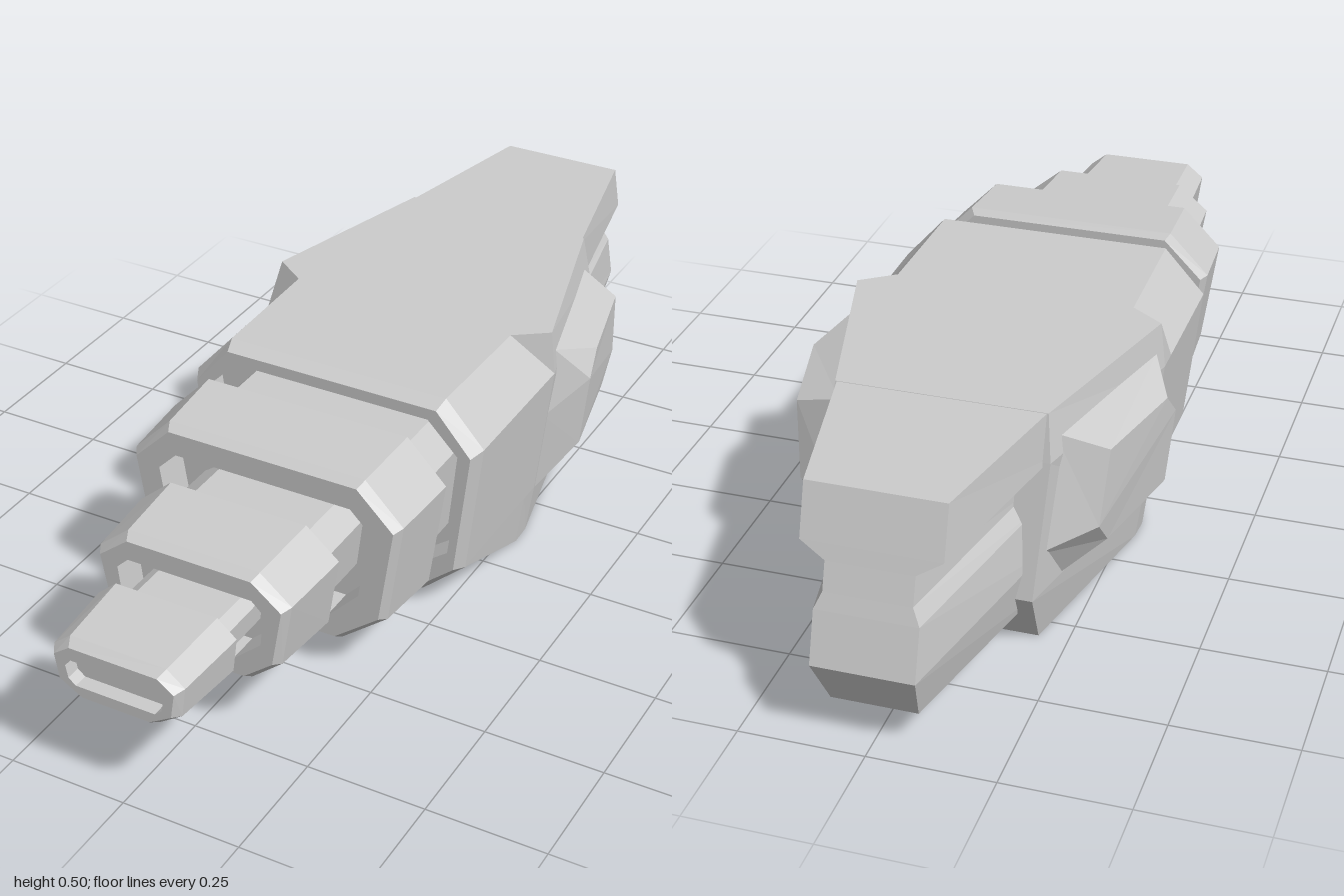
import * as THREE from 'three';

// Flat-shaded skin through rings (clockwise seen from the front), capped at both ends.
function loft(name, rings) {
  const v = [];
  const quad = (a, b, c, d) => v.push(...a, ...b, ...c, ...a, ...c, ...d);
  const n = rings[0].length;
  for (let k = 0; k + 1 < rings.length; k++) {
    const f = rings[k], r = rings[k + 1];
    for (let i = 0; i < n; i++) {
      const j = (i + 1) % n;
      quad(f[i], f[j], r[j], r[i]);
    }
  }
  const first = rings[0], last = rings[rings.length - 1];
  for (let i = 0; i + 1 < n / 2; i++) {
    const a = n - 1 - i, b = n - 2 - i;
    quad(first[i], first[a], first[b], first[i + 1]);
    quad(last[i], last[i + 1], last[b], last[a]);
  }
  const geo = new THREE.BufferGeometry();
  geo.setAttribute('position', new THREE.Float32BufferAttribute(v, 3));
  geo.computeVertexNormals();
  const mesh = new THREE.Mesh(geo, new THREE.MeshStandardMaterial({ color: 0xcccccc, flatShading: true }));
  mesh.name = name;
  return mesh;
}

// Half outline (top to bottom, +x side) mirrored into a full ring.
function ring(half, z) {
  const right = half.map(p => [p[0], p[1], p[2] ?? z]);
  return [...right, ...right.map(p => [-p[0], p[1], p[2]]).reverse()];
}

// Pull an outline inward by a distance on both axes.
function inset(half, d) {
  const mid = (half[0][1] + half[half.length - 1][1]) / 2;
  const h = half[0][1] - mid, w = half[1][0];
  return half.map(([x, y]) => [x * (1 - d / w), mid + (y - mid) * (1 - d / h)]);
}

// Bevelled sleeve with a socket in its front face.
function sleeve(name, outline, socket, front, back, depth) {
  return loft(name, [
    ring(socket, front - depth),
    ring(socket, front),
    ring(inset(outline, 0.022), front),
    ring(inset(outline, 0.01), front - 0.02),
    ring(outline, back + 0.012),
    ring(inset(outline, 0.013), back),
  ]);
}

export function createModel() {
  const model = new THREE.Group();
  model.name = 'telescopingDevice';

  // Telescoping sleeves, tip to base
  model.add(sleeve('tipSleeve',
    [[0.11, 0.35], [0.15, 0.315], [0.14, 0.24], [0.085, 0.2]],
    [[0.092, 0.3], [0.105, 0.285], [0.1, 0.258], [0.085, 0.245]], 1, 0.81, 0.03));
  model.add(sleeve('middleSleeve',
    [[0.15, 0.41], [0.22, 0.35], [0.195, 0.2], [0.125, 0.14]],
    [[0.135, 0.346], [0.16, 0.322], [0.152, 0.25], [0.09, 0.195]], 0.745, 0.555, 0.07));
  model.add(sleeve('baseSleeve',
    [[0.225, 0.48], [0.31, 0.392], [0.275, 0.155], [0.17, 0.07]],
    [[0.195, 0.408], [0.235, 0.368], [0.212, 0.21], [0.14, 0.135]], 0.48, 0.292, 0.08));

  // Necks joining the sleeves
  const neck = (name, half, front, back) => model.add(loft(name, [ring(half, front), ring(half, back)]));
  neck('tipNeck', [[0.09, 0.315], [0.115, 0.298], [0.11, 0.25], [0.07, 0.235]], 0.83, 0.66);
  neck('middleNeck', [[0.13, 0.365], [0.18, 0.33], [0.165, 0.22], [0.1, 0.185]], 0.57, 0.39);
  neck('baseNeck', [[0.2, 0.43], [0.255, 0.37], [0.235, 0.18], [0.15, 0.12]], 0.31, 0.12);

  // Main body: chamfered socket end, stepped shoulders, tapered back
  const bodySocket = [[0.22, 0.465], [0.298, 0.385], [0.268, 0.16], [0.165, 0.085]];
  model.add(loft('body', [
    ring(bodySocket, 0.14),
    ring(bodySocket, 0.21),
    ring([[0.238, 0.49], [0.315, 0.4], [0.282, 0.122], [0.19, 0.045]], 0.21),
    ring([[0.245, 0.505], [0.33, 0.41], [0.295, 0.115], [0.2, 0.03]], 0.18),
    ring([[0.25, 0.505], [0.33, 0.41], [0.295, 0.115], [0.28, 0]], -0.1),
    ring([[0.32, 0.505], [0.33, 0.41], [0.295, 0.115], [0.278, 0]], -0.15),
    ring([[0.21, 0.505, -0.555], [0.22, 0.41, -0.575], [0.2, 0.13, -0.625], [0.19, 0, -0.55]]),
  ]));

  // Tail with a groove along each side and a slanted end
  model.add(loft('tail', [
    ring([[0.212, 0.504], [0.214, 0.4], [0.165, 0.37], [0.165, 0.315], [0.185, 0.282],
      [0.195, 0.18], [0.175, 0.075]], -0.53),
    ring([[0.135, 0.504, -0.9], [0.135, 0.4, -0.932], [0.085, 0.37, -0.941], [0.085, 0.315, -0.958],
      [0.1, 0.282, -0.969], [0.1, 0.18, -1], [0.085, 0.075, -0.945]]),
  ]));

  // Raised side pods, bevelled around a sloping outer panel
  const panel = [[0.315, 0.415, -0.5], [0.303, 0.26, -0.53], [0.305, 0.2, -0.475],
    [0.357, 0.2, -0.235], [0.375, 0.365, -0.235], [0.368, 0.415, -0.28]];
  const base = [[0.215, 0.45, -0.53], [0.195, 0.21, -0.585], [0.19, 0.1, -0.52],
    [0.285, 0.1, -0.15], [0.31, 0.3, -0.15], [0.318, 0.45, -0.175]];
  const flip = r => r.map(([x, y, z]) => [-x, y, z]).reverse();
  model.add(loft('leftPod', [panel, base]));
  model.add(loft('rightPod', [flip(panel), flip(base)]));

  return model;
}
